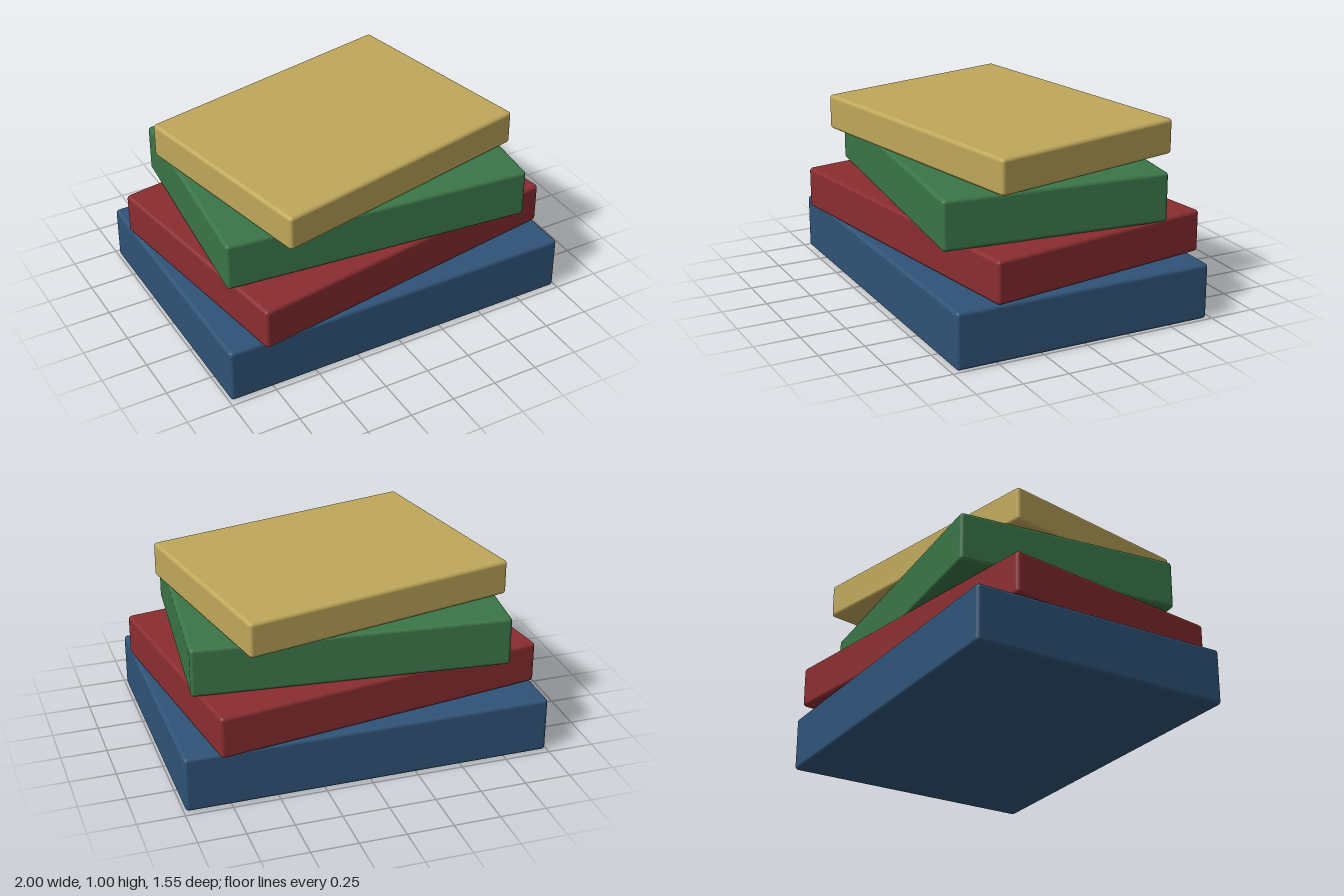
import * as THREE from 'three';
import { RoundedBoxGeometry } from 'three/addons/geometries/RoundedBoxGeometry.js';

// Stack of slabs from bottom to top: size and twist about the vertical axis
const SLABS = [
  { name: 'bottomSlab', color: 0x2f5377, width: 1.98, height: 0.306, depth: 1.445, turn: 0 },
  { name: 'lowerMiddleSlab', color: 0x8a2d30, width: 1.83, height: 0.23, depth: 1.295, turn: 0.15 },
  { name: 'upperMiddleSlab', color: 0x3a7547, width: 1.675, height: 0.268, depth: 1.22, turn: -0.1 },
  { name: 'topSlab', color: 0xbfa75a, width: 1.52, height: 0.192, depth: 1.14, turn: 0.2 },
];
const EDGE_RADIUS = 0.02;

export function createModel() {
  const group = new THREE.Group();
  group.name = 'slabStack';

  let y = 0;
  for (const { name, color, width, height, depth, turn } of SLABS) {
    const slab = new THREE.Mesh(
      new RoundedBoxGeometry(width, height, depth, 4, EDGE_RADIUS),
      new THREE.MeshStandardMaterial({ color })
    );
    slab.name = name;
    slab.position.y = y + height / 2;
    slab.rotation.y = turn;
    group.add(slab);
    y += height; // the next slab rests on this one
  }
  return group;
}
